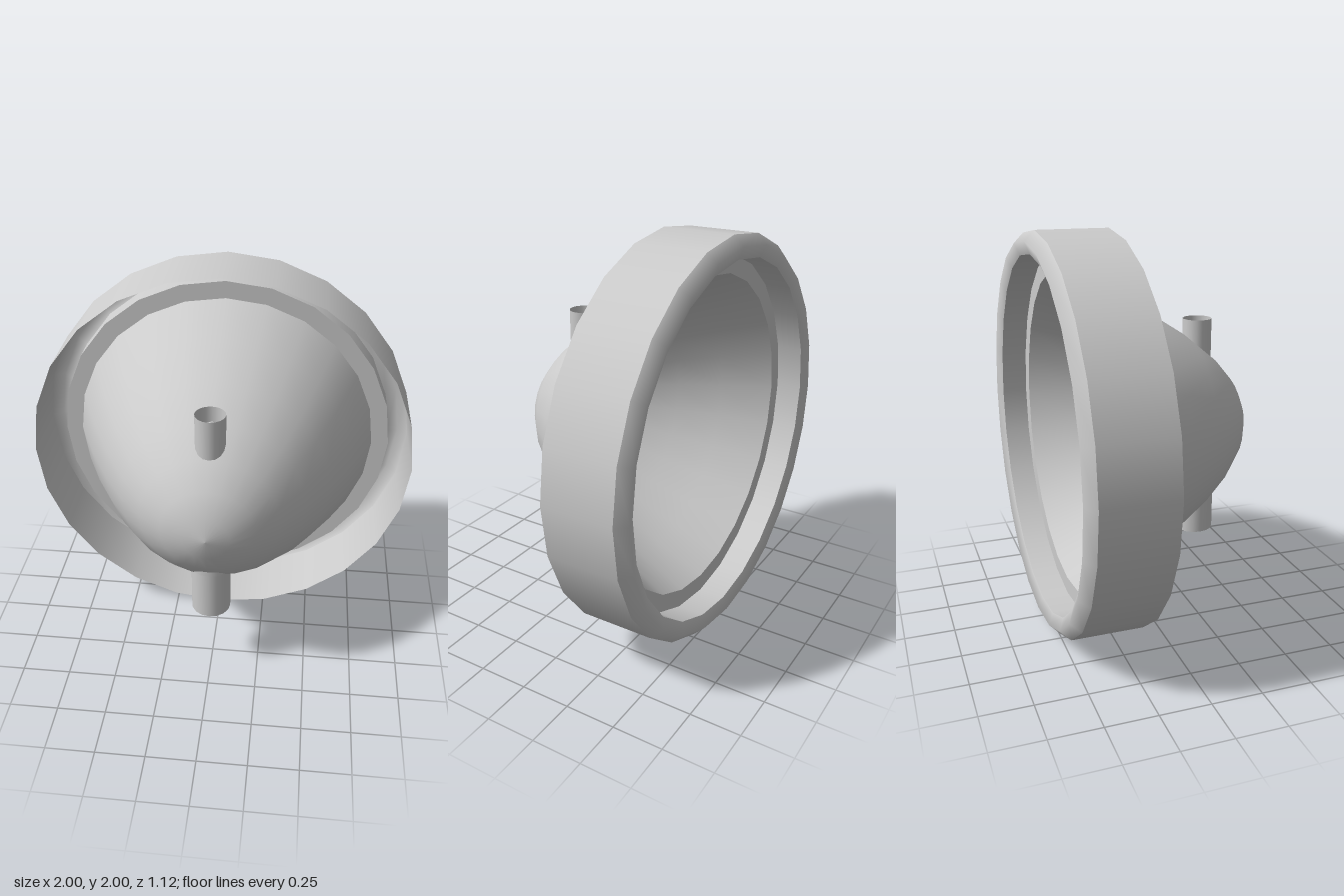
import * as THREE from 'three';

const material = new THREE.MeshStandardMaterial({ color: 0xcccccc, side: THREE.DoubleSide });

// Surface of revolution from [radius, height] points
function turned(name, points, sides) {
  const profile = points.map(([r, h]) => new THREE.Vector2(r, h));
  const mesh = new THREE.Mesh(new THREE.LatheGeometry(profile, sides), material);
  mesh.name = name;
  return mesh;
}

export function createModel() {
  const model = new THREE.Group();
  model.name = 'lampHousing';

  // Round shell: its axis runs along z, the open mouth faces back
  const shell = new THREE.Group();
  shell.name = 'shell';
  shell.rotation.x = Math.PI / 2;
  shell.position.y = 1;
  model.add(shell);

  // Parabolic reflector bowl, z = 0.56 - 1.5 r^2
  const bowl = [];
  for (let i = 7; i >= 0; i--) {
    const r = (0.8 * i) / 7;
    bowl.push([r, 0.56 - 1.5 * r * r]);
  }
  shell.add(
    turned('reflectorBowl', bowl, 24),
    turned('seatRing', [[0.89, -0.4], [0.8, -0.4]], 24),
    turned('innerWall', [[0.89, -0.535], [0.89, -0.4]], 24),
    turned('rimLip', [[1, -0.51], [0.95, -0.56], [0.89, -0.535]], 24),
    turned('rimBand', [[1, -0.15], [1, -0.51]], 24)
  );

  // Upright bulb passing through the bowl near its nose
  const bulb = new THREE.Group();
  bulb.name = 'bulb';
  bulb.position.z = 0.313;
  model.add(bulb);
  bulb.add(
    turned('bulbSocket', [[0.1, 0.4], [0.1, 0.68]], 16),
    turned('bulbGlass', [[0.1, 0.81], [0.106, 0.9], [0.103, 1.0], [0.094, 1.1], [0.08, 1.2], [0.073, 1.3]], 16),
    turned('bulbNeck', [[0.073, 1.3], [0.073, 1.54]], 16),
    // Collar between socket and glass
    turned('collarSide', [[0.115, 0.68], [0.115, 0.81]], 16),
    turned('collarBottom', [[0.1, 0.68], [0.115, 0.68]], 16),
    turned('collarTop', [[0.115, 0.81], [0.1, 0.81]], 16)
  );
  return model;
}
